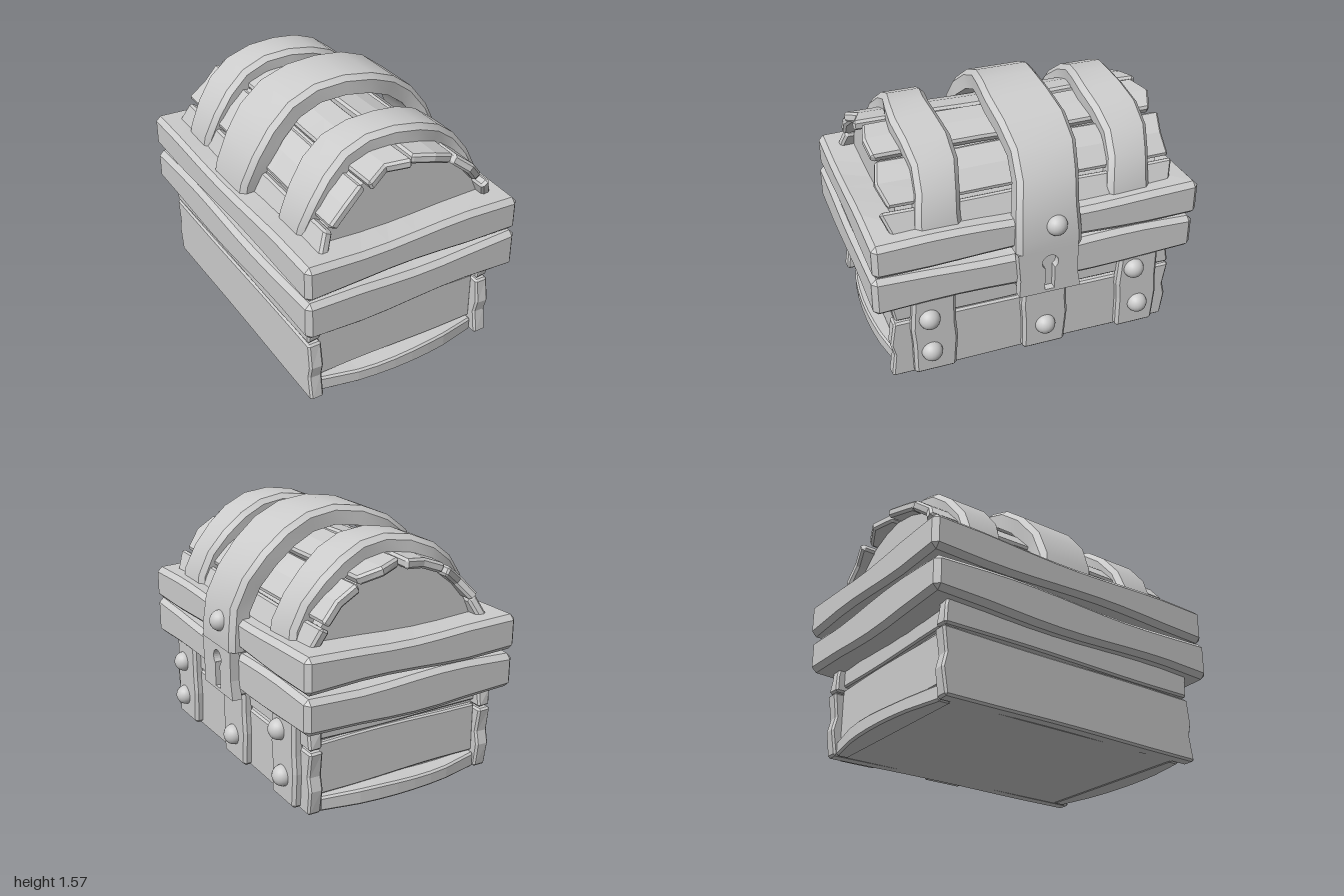
import * as THREE from 'three';
import { toCreasedNormals } from 'three/addons/utils/BufferGeometryUtils.js';

const flat = new THREE.MeshStandardMaterial({ color: 0xcccccc, flatShading: true });
const smooth = new THREE.MeshStandardMaterial({ color: 0xcccccc });

function add(parent, name, geometry, material = flat) {
  const mesh = new THREE.Mesh(geometry, material);
  mesh.name = name;
  parent.add(mesh);
  return mesh;
}

// Box with chamfered edges; seg = divisions per axis, warp moves each vertex
function block(size, bevel, seg, warp) {
  const geo = new THREE.BoxGeometry(...size, ...seg);
  const pos = geo.attributes.position;
  const v = new THREE.Vector3();
  for (let i = 0; i < pos.count; i++) {
    v.fromBufferAttribute(pos, i);
    const p = v.toArray();
    const lines = p.map((c, a) => Math.round((c / size[a] + 0.5) * seg[a]));
    const outer = lines.map((l, a) => l === 0 || l === seg[a]);
    const count = outer.filter(Boolean).length;
    const inset = [0, 0, bevel / 2, bevel * 2 / 3][count];
    p.forEach((c, a) => {
      const s = Math.sign(c);
      if (outer[a]) p[a] = s * (size[a] / 2 - inset);
      else if (lines[a] === 1 || lines[a] === seg[a] - 1) p[a] = s * (size[a] / 2 - bevel);
    });
    v.fromArray(p);
    if (warp) warp(v);
    pos.setXYZ(i, v.x, v.y, v.z);
  }
  geo.computeVertexNormals();
  return geo;
}

// Board given by its limits, with gently wavy top and bottom edges
function board(parent, name, [x0, x1], [y0, y1], [z0, z1], bevel, seg, amp = 0, seed = 0, extra) {
  const mesh = add(parent, name, block([x1 - x0, y1 - y0, z1 - z0], bevel, seg, v => {
    const side = v.y > 0 ? 0 : 2;
    v.y += amp * Math.sin(v.x * 5 + v.z * 4 + seed + side);
    if (extra) extra(v);
  }));
  mesh.position.set((x0 + x1) / 2, (y0 + y1) / 2, (z0 + z1) / 2);
  return mesh;
}

// Arched strap: a chamfered section swept over a half circle with straight legs
function strap(parent, name, { cx, cy, r0, r1, zc, half, rightY, leftY, seed }) {
  const steps = 12, b = 0.03, path = [[r1, rightY - cy, 0]];
  for (let i = 0; i <= steps; i++) path.push([null, null, Math.PI * i / steps]);
  path.push([-r1, leftY - cy, Math.PI]);
  const verts = [], idx = [];
  path.forEach(([px, py, a], s) => {
    const zA = zc - half + 0.022 * Math.sin(a * 5 + seed);
    const zB = zc + half + 0.022 * Math.sin(a * 5 + seed + 0.8);
    const section = [[r0, zA], [r1 - b, zA], [r1, zA + b], [r1, zB - b], [r1 - b, zB], [r0, zB]];
    for (const [r, z] of section) {
      if (px === null) verts.push(cx + r * Math.cos(a), cy + r * Math.sin(a), z);
      else verts.push(cx + Math.sign(px) * r, cy + py, z);
    }
    if (s === 0) return;
    for (let k = 0; k < 6; k++) {
      const p = (s - 1) * 6 + k, q = (s - 1) * 6 + (k + 1) % 6;
      idx.push(p, p + 6, q, q, p + 6, q + 6);
    }
  });
  const last = (path.length - 1) * 6;
  for (let k = 1; k < 5; k++) idx.push(0, k, k + 1, last, last + k + 1, last + k);
  const geo = new THREE.BufferGeometry();
  geo.setAttribute('position', new THREE.Float32BufferAttribute(verts, 3));
  geo.setIndex(idx);
  add(parent, name, toCreasedNormals(geo, 0.6), smooth);
}

function buildBody(root) {
  const body = new THREE.Group();
  body.name = 'body';
  root.add(body);
  board(body, 'bodyCore', [-0.62, 0.5], [0.005, 0.9], [-0.8, 0.8], 0.01, [3, 3, 3]);
  // Long side planks
  const ragged = v => { if (Math.abs(v.z) > 0.8) v.z += 0.012 * Math.sin(v.y * 25 + v.x * 9); };
  for (const [name, x] of [['frontPlank', [0.48, 0.565]], ['backPlank', [-0.68, -0.595]]]) {
    board(body, name + 'Lower', x, [0.005, 0.39], [-0.875, 0.89], 0.012, [3, 5, 10], 0.003, 0, ragged);
    board(body, name + 'Upper', x, [0.402, 0.6], [-0.87, 0.88], 0.012, [3, 4, 10], 0.004, 1, ragged);
  }
  // End panels, with a bulging board at the foot
  for (const s of [1, -1]) {
    const z = (a, b) => s > 0 ? [a, b] : [-b, -a];
    board(body, 'endPanelLower', [-0.6, 0.485], [0.1, 0.415], z(0.77, 0.83), 0.01, [9, 3, 3], 0.006, 1);
    board(body, 'endPanelUpper', [-0.6, 0.485], [0.43, 0.6], z(0.77, 0.83), 0.01, [9, 3, 3], 0.005, 2);
    board(body, 'endFootBoard', [-0.6, 0.485], [0, 0.092], z(0.77, 0.845), 0.012, [9, 3, 3], 0, 0, v => {
      if (v.z * s > 0) v.z += s * 0.075 * Math.max(0, Math.cos(v.x * 2.9)) ** 0.7;
      if (v.y > 0) v.y += 0.006 * Math.sin(v.x * 7);
    });
  }
}

function buildRim(root) {
  const rim = new THREE.Group();
  rim.name = 'rim';
  root.add(rim);
  board(rim, 'lowerRim', [-0.75, 0.645], [0.53, 0.755], [-0.985, 1], 0.03, [8, 4, 12], 0.013, 0.5);
  board(rim, 'upperRim', [-0.745, 0.65], [0.785, 0.985], [-1, 0.99], 0.03, [8, 4, 12], 0.012, 2.2);
}

function buildLid(root) {
  const lid = new THREE.Group();
  lid.name = 'lid';
  lid.position.set(-0.03, 0.785, 0);
  root.add(lid);
  const drum = new THREE.CylinderGeometry(0.56, 0.56, 1.6, 40);
  drum.rotateX(Math.PI / 2);
  add(lid, 'lidDrum', toCreasedNormals(drum, 0.6), smooth);
  // Curved planks with chipped ends
  const r = 0.585, width = 0.272;
  [-72, -43.5, -14.5, 14.5, 43.5, 72].forEach((deg, n) => {
    add(lid, 'lidPlank', block([width, 0.06, 1.74], 0.014, [4, 3, 8], v => {
      const bend = v.x / r + deg * Math.PI / 180;
      const rad = r + v.y + 0.004 * Math.sin(v.z * 5 + n * 2);
      if (Math.abs(v.z) > 0.82) v.z += 0.025 * Math.sin(v.x * 23 + n * 1.9 + Math.sign(v.z));
      v.x = rad * Math.sin(bend) + 0.004 * Math.sin(v.z * 7 + n);
      v.y = rad * Math.cos(bend);
    }));
  });
  // Straps over the lid
  const side = { cx: -0.025, cy: 0.885, r0: 0.515, r1: 0.615, half: 0.135, rightY: 0.85, leftY: 0.85 };
  strap(root, 'sideStrap', { ...side, zc: 0.565, seed: 0.3 });
  strap(root, 'sideStrap', { ...side, zc: -0.595, seed: 0.3 });
  strap(root, 'middleStrap', {
    cx: 0, cy: 0.86, r0: 0.59, r1: 0.705, zc: -0.045, half: 0.195, rightY: 0.78, leftY: 0.88, seed: 0.4
  });
}

function buildFittings(root) {
  const fittings = new THREE.Group();
  fittings.name = 'fittings';
  root.add(fittings);
  // Metal bars on the lock side
  for (const [z, y0] of [[[0.51, 0.775], 0.02], [[-0.185, 0.095], 0.015], [[-0.785, -0.525], 0.015]])
    board(fittings, 'bar', [0.54, 0.612], [y0, 0.56], z, 0.018, [3, 5, 3], 0, 0, v => {
      v.z += 0.008 * Math.sin(v.y * 14 + v.z * 5);
    });
  // Lock plate with keyhole
  const plate = new THREE.Shape();
  [[-0.155, 0.485], [0.225, 0.485], [0.205, 0.6], [0.205, 0.78], [-0.165, 0.78], [-0.15, 0.6]]
    .forEach(([x, y], i) => i ? plate.lineTo(x, y) : plate.moveTo(x, y));
  const hole = new THREE.Path();
  hole.moveTo(0.002, 0.505);
  hole.lineTo(0.002, 0.655);
  hole.absarc(0.032, 0.692, 0.05, -2.2, -0.94, true);
  hole.lineTo(0.062, 0.505);
  hole.closePath();
  plate.holes.push(hole);
  const geo = new THREE.ExtrudeGeometry(plate, { depth: 0.06, bevelEnabled: false, curveSegments: 10 });
  geo.rotateY(Math.PI / 2);
  const lock = add(fittings, 'lockPlate', geo);
  lock.position.x = 0.64;
  board(fittings, 'lockBacking', [0.58, 0.655], [0.49, 0.77], [-0.19, 0.14], 0.01, [3, 3, 3]);
  // Rivets: x, y, z
  const ball = new THREE.SphereGeometry(0.063, 20, 14);
  for (const p of [[0.612, 0.41, 0.675], [0.612, 0.175, 0.668], [0.612, 0.45, -0.62],
    [0.612, 0.18, -0.66], [0.612, 0.18, -0.045], [0.69, 0.935, -0.068]])
    add(fittings, 'rivet', ball, smooth).position.set(...p);
}

export function createModel() {
  const root = new THREE.Group();
  root.name = 'chest';
  buildBody(root);
  buildRim(root);
  buildLid(root);
  buildFittings(root);
  return root;
}
